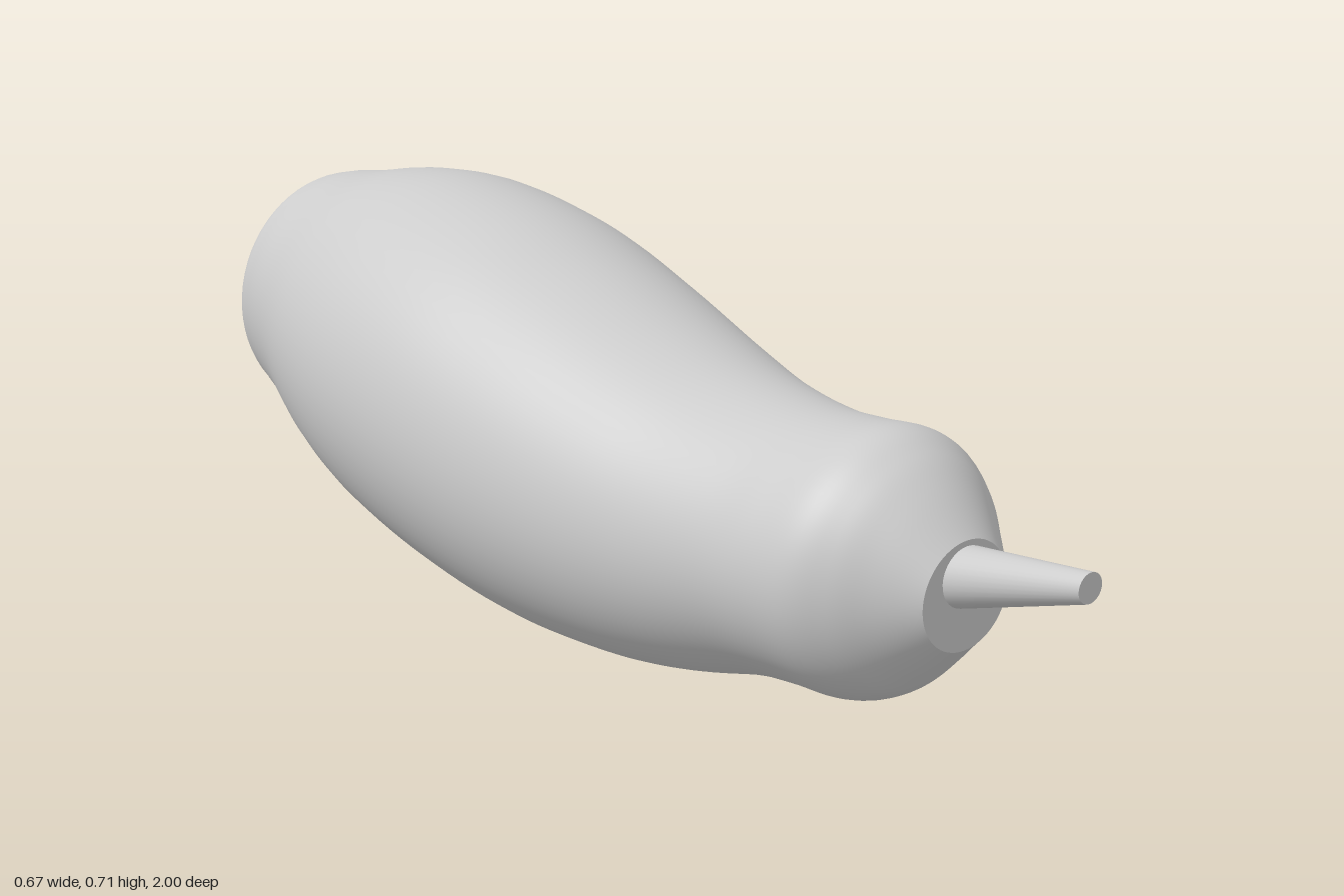
import * as THREE from 'three';

// Body stations, back to front: z, bottom, top, half width
const STATIONS = [
  [-1, 0.42, 0.42, 0],
  [-0.965, 0.3, 0.54, 0.115],
  [-0.925, 0.21, 0.625, 0.2],
  [-0.87, 0.19, 0.65, 0.226],
  [-0.78, 0.165, 0.668, 0.255],
  [-0.65, 0.108, 0.697, 0.298],
  [-0.5, 0.06, 0.708, 0.327],
  [-0.3, 0.02, 0.685, 0.333],
  [-0.1, 0, 0.632, 0.315],
  [0.1, 0.01, 0.572, 0.282],
  [0.25, 0.037, 0.537, 0.25],
  [0.4, 0.08, 0.524, 0.223],
  [0.5, 0.097, 0.53, 0.219],
  [0.59, 0.105, 0.54, 0.212],
  [0.65, 0.13, 0.518, 0.18],
  [0.7, 0.175, 0.478, 0.138],
  [0.76, 0.238, 0.412, 0.088],
];
const SIDES = 64, RINGS = 96;

// Smooth loft of elliptical rings through the stations
function loftGeometry() {
  const spline = (f) => new THREE.CatmullRomCurve3(STATIONS.map(f), false, 'catmullrom', 0.5);
  const outline = spline(([z, lo, hi]) => new THREE.Vector3(lo, hi, z));
  const widths = spline(([z, , , w]) => new THREE.Vector3(w, 0, z));
  const pos = [], idx = [];
  for (let i = 0; i <= RINGS; i++) {
    const { x: lo, y: hi, z } = outline.getPoint(i / RINGS);
    const w = widths.getPoint(i / RINGS).x;
    for (let j = 0; j < SIDES; j++) {
      const a = (j / SIDES) * Math.PI * 2;
      pos.push(w * Math.cos(a), (lo + hi) / 2 + ((hi - lo) / 2) * Math.sin(a), z);
      if (i === RINGS) continue;
      const p = i * SIDES + j, q = i * SIDES + ((j + 1) % SIDES);
      if (i > 0) idx.push(p, q, p + SIDES);
      idx.push(q, q + SIDES, p + SIDES);
    }
  }
  const g = new THREE.BufferGeometry();
  g.setAttribute('position', new THREE.Float32BufferAttribute(pos, 3));
  g.setIndex(idx);
  g.computeVertexNormals();
  return g;
}

export function createModel() {
  const group = new THREE.Group();
  const grey = new THREE.MeshStandardMaterial({ color: 0xcccccc });
  grey.name = 'plain grey';
  const add = (name, geometry) => {
    const mesh = new THREE.Mesh(geometry, grey);
    mesh.name = name;
    group.add(mesh);
    return mesh;
  };

  add('body', loftGeometry());

  // Flat face at the front of the head
  add('faceDisc', new THREE.CircleGeometry(0.088, SIDES)).position.set(0, 0.325, 0.76);

  // Tapered beak, sheared upward so that both ends stay vertical
  const beak = new THREE.CylinderGeometry(0.024, 0.051, 0.26, 32);
  beak.rotateX(Math.PI / 2);
  beak.applyMatrix4(new THREE.Matrix4().set(1, 0, 0, 0, 0, 1, 0.245, 0, 0, 0, 1, 0, 0, 0, 0, 1));
  add('beak', beak).position.set(0, 0.382, 0.87);

  return group;
}
